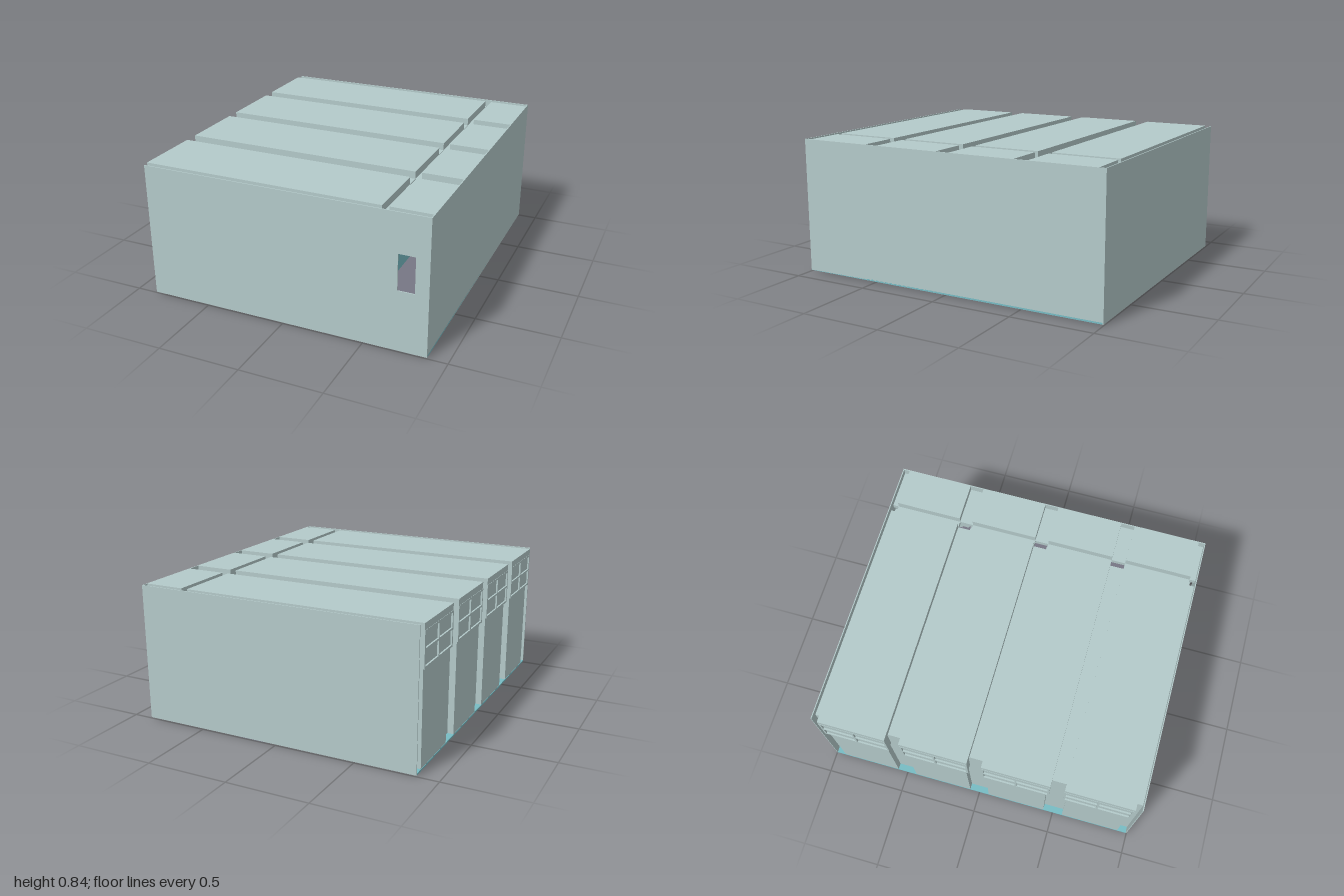
import * as THREE from 'three';

export function createModel() {
  const model = new THREE.Group();
  const concrete = new THREE.MeshStandardMaterial({ color: 0xb4caca });
  concrete.name = 'pale concrete';
  const hallFloor = new THREE.MeshStandardMaterial({ color: 0x78bcc4 });
  hallFloor.name = 'teal floor';
  const stairGrey = new THREE.MeshStandardMaterial({ color: 0x777784 });
  stairGrey.name = 'stair grey';

  // Box given by its limits on each axis
  function box(name, mat, x0, x1, y0, y1, z0, z1, parent = model) {
    const mesh = new THREE.Mesh(new THREE.BoxGeometry(x1 - x0, y1 - y0, z1 - z0), mat);
    mesh.position.set((x0 + x1) / 2, (y0 + y1) / 2, (z0 + z1) / 2);
    mesh.name = name;
    parent.add(mesh);
    return mesh;
  }

  const L = -0.87, R = 0.88, H = 0.84, BASE = 0.006, T = 0.006;
  const INNER = -0.83, DECK = 0.795, G0 = 0.59, G1 = 0.63;

  // Floor and outer walls
  box('floor', hallFloor, L, R, BASE, 0.016, -1 + T, 1 - T);
  box('backWall', concrete, L, R, BASE, H, -1, -1 + T);
  box('sideWall', concrete, R - T, R, BASE, H, -1 + T, 1 - T);
  box('innerWall', concrete, INNER, INNER + T, 0.016, DECK, -1 + T, 1 - T);

  // Front wall with its window opening
  const outline = new THREE.Shape([[L, BASE], [R, BASE], [R, H], [L, H]].map(p => new THREE.Vector2(...p)));
  outline.holes.push(new THREE.Path([[0.7, 0.38], [0.7, 0.6], [0.8, 0.6], [0.8, 0.38]].map(p => new THREE.Vector2(...p))));
  const frontWall = new THREE.Mesh(new THREE.ExtrudeGeometry(outline, { depth: T, bevelEnabled: false }), concrete);
  frontWall.position.z = 1 - T;
  frontWall.name = 'frontWall';
  model.add(frontWall);

  // Low roof deck in the gaps between the bays, open where the cross groove passes
  for (let i = 0; i <= 4; i++) {
    const z = -1 + i * 0.5;
    const z0 = Math.max(z - 0.043, -1 + T), z1 = Math.min(z + 0.043, 1 - T);
    box('gapDeck', concrete, INNER, G0, DECK - 0.03, DECK, z0, z1);
    box('gapDeck', concrete, G1, R - T, DECK - 0.03, DECK, z0, z1);
  }

  // Four bays: roof slabs, wall panel and window band
  for (let i = 0; i < 4; i++) {
    const bay = new THREE.Group();
    bay.name = 'bay';
    model.add(bay);
    const z0 = -0.957 + i * 0.5, z1 = z0 + 0.414, zm = (z0 + z1) / 2;
    box('roofSlab', concrete, -0.88, G0, 0.8, H, z0, z1, bay);
    box('roofSlab', concrete, G1, R - T, DECK - 0.03, H, z0, z1, bay);
    box('grooveDeck', concrete, G0, G1, DECK - 0.03, DECK, z0, z1, bay);
    box('ceiling', concrete, INNER, G0, DECK - 0.03, 0.8, z0, z1, bay);
    box('wallPanel', concrete, -0.868, INNER, 0.016, 0.6, z0 + 0.02, z1 - 0.02, bay);
    box('windowPanes', concrete, -0.872, INNER, 0.6, 0.8, z0 + 0.005, z1 - 0.005, bay);
    // Window frame bars
    for (const y of [0.59, 0.69, 0.788]) {
      box('windowRail', concrete, -0.882, -0.865, y, y + 0.012, z0, z1, bay);
    }
    for (const z of [z0 + 0.006, zm, z1 - 0.006]) {
      box('windowPost', concrete, -0.882, -0.865, 0.602, 0.788, z - 0.006, z + 0.006, bay);
    }
  }

  // Mezzanine with its parapet towards the hall
  box('mezzanine', stairGrey, 0.6, R - T, 0.33, 0.36, -0.33, 1 - T);
  box('parapet', hallFloor, 0.6, 0.612, 0.33, 0.47, -0.33, 1 - T);

  // Stepped flight with a sloping underside, drawn as a side profile and given width
  function flight(name, run, y0, y1, steps, width, under) {
    const pts = [[0, y0]];
    for (let s = 0; s < steps; s++) {
      const y = y0 + (y1 - y0) * (s + 1) / steps;
      pts.push([run * s / steps, y], [run * (s + 1) / steps, y]);
    }
    pts.push([run, y1 - 0.08], under);
    const shape = new THREE.Shape(pts.map(p => new THREE.Vector2(...p)));
    const mesh = new THREE.Mesh(new THREE.ExtrudeGeometry(shape, { depth: width, bevelEnabled: false }), stairGrey);
    mesh.name = name;
    model.add(mesh);
    return mesh;
  }
  const lower = flight('lowerStair', 0.52, 0, 0.19, 10, 0.265, [0.16, 0]);
  lower.position.set(0.08, 0, -0.995);
  box('stairLanding', stairGrey, 0.6, R - T, 0.15, 0.19, -0.994, -0.73);
  const upper = flight('upperStair', 0.4, 0.19, 0.36, 8, 0.262, [0, 0.15]);
  upper.rotation.y = -Math.PI / 2;
  upper.position.set(R - T, 0, -0.73);

  return model;
}
